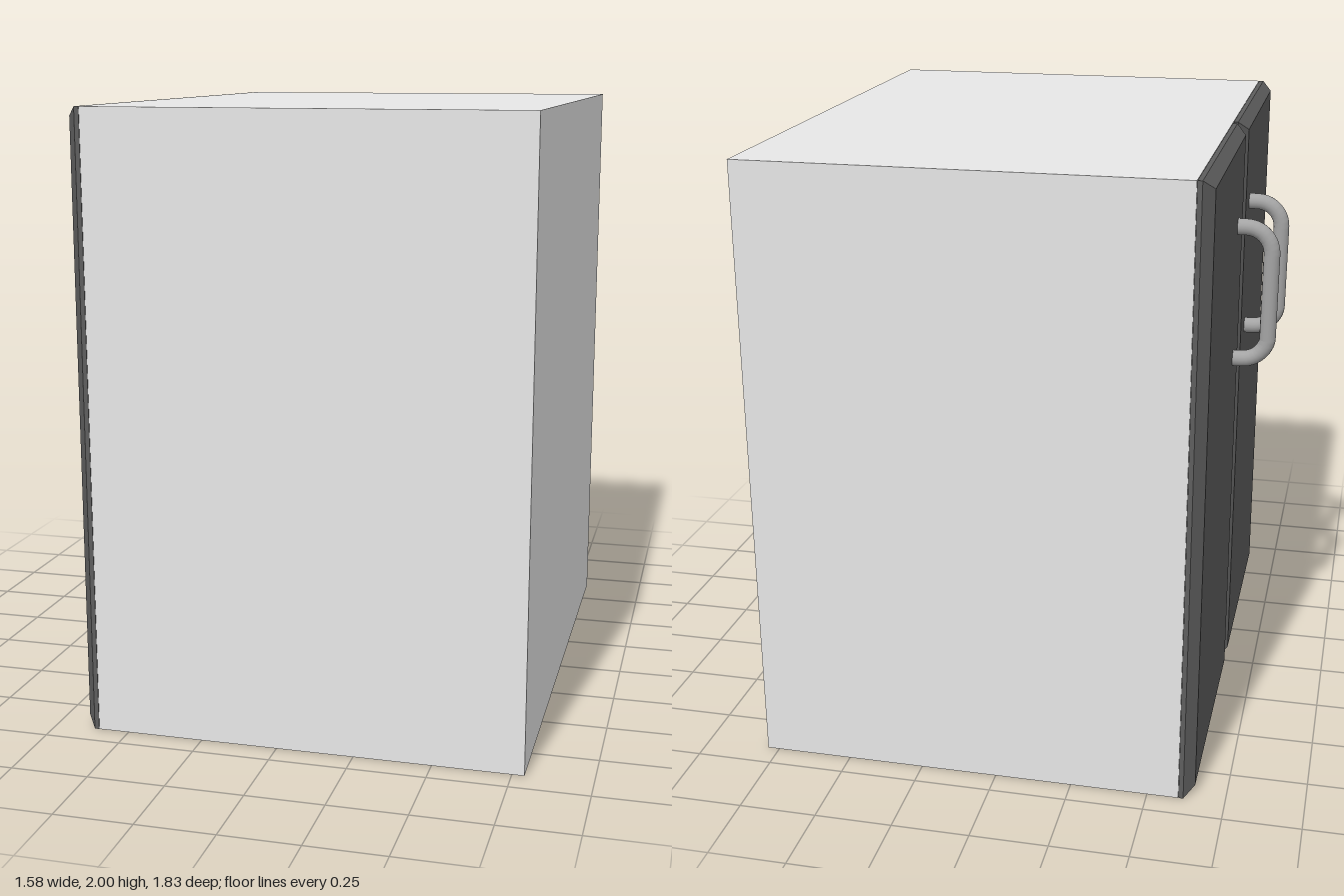
import * as THREE from 'three';

const paint = (name, color) => {
  const m = new THREE.MeshStandardMaterial({ color });
  m.name = name;
  return m;
};

// Door slab facing -x: flat rim, then bevelled edges up to the front panel
function doorGeometry(w, h) {
  const sections = [[-0.602, 0, 0], [-0.617, 0, 0], [-0.65, 0.04, 0.03]];
  const rings = sections.map(([x, dz, dy]) => [
    [x, dy, -w / 2 + dz], [x, dy, w / 2 - dz],
    [x, h - dy, w / 2 - dz], [x, h - dy, -w / 2 + dz],
  ]);
  const pos = [];
  const quad = (a, b, c, d) => pos.push(...a, ...b, ...c, ...a, ...c, ...d);
  for (let r = 0; r < 2; r++) {
    for (let i = 0; i < 4; i++) {
      const j = (i + 1) % 4;
      quad(rings[r][i], rings[r][j], rings[r + 1][j], rings[r + 1][i]);
    }
  }
  quad(...rings[2]);
  quad(...[...rings[0]].reverse());
  const g = new THREE.BufferGeometry();
  g.setAttribute('position', new THREE.Float32BufferAttribute(pos, 3));
  g.computeVertexNormals();
  return g;
}

// Bent round bar with filleted corners
function handleGeometry() {
  const v = (x, y) => new THREE.Vector3(x, y, 0);
  const out = -0.763, root = -0.645, top = 1.698, low = 1.249, r = 0.085;
  const path = new THREE.CurvePath();
  const points = [v(root, top), v(out + r, top)];
  const arc = (cy, from, to) => {
    for (let i = 1; i <= 8; i++) {
      const a = from + (to - from) * i / 8;
      points.push(v(out + r + Math.cos(a) * r, cy + Math.sin(a) * r));
    }
  };
  arc(top - r, Math.PI / 2, Math.PI);
  arc(low + r, Math.PI, Math.PI * 1.5);
  points.push(v(root, low));
  for (let i = 1; i < points.length; i++) path.add(new THREE.LineCurve3(points[i - 1], points[i]));
  return new THREE.TubeGeometry(path, 96, 0.027, 16, false);
}

export function createModel() {
  const group = new THREE.Group();
  const bodyPaint = paint('light grey', 0xe7e7e7);
  const doorPaint = paint('dark grey', 0x5e5e5e);
  const handlePaint = paint('mid grey', 0xa4a4a4);
  const add = (name, geometry, material, x, y, z) => {
    const mesh = new THREE.Mesh(geometry, material);
    mesh.name = name;
    mesh.position.set(x, y, z);
    group.add(mesh);
  };

  // Cabinet box
  add('cabinetBody', new THREE.BoxGeometry(1.39, 2, 1.83), bodyPaint, 0.094, 1, 0);

  // Pair of doors with handles beside the central gap
  const door = doorGeometry(0.903, 2);
  const handle = handleGeometry();
  for (const [label, s] of [['front', 1], ['back', -1]]) {
    add(label + 'Door', door, doorPaint, 0, 0, s * 0.4635);
    add(label + 'Handle', handle, handlePaint, 0, 0, s * 0.189);
  }
  return group;
}
